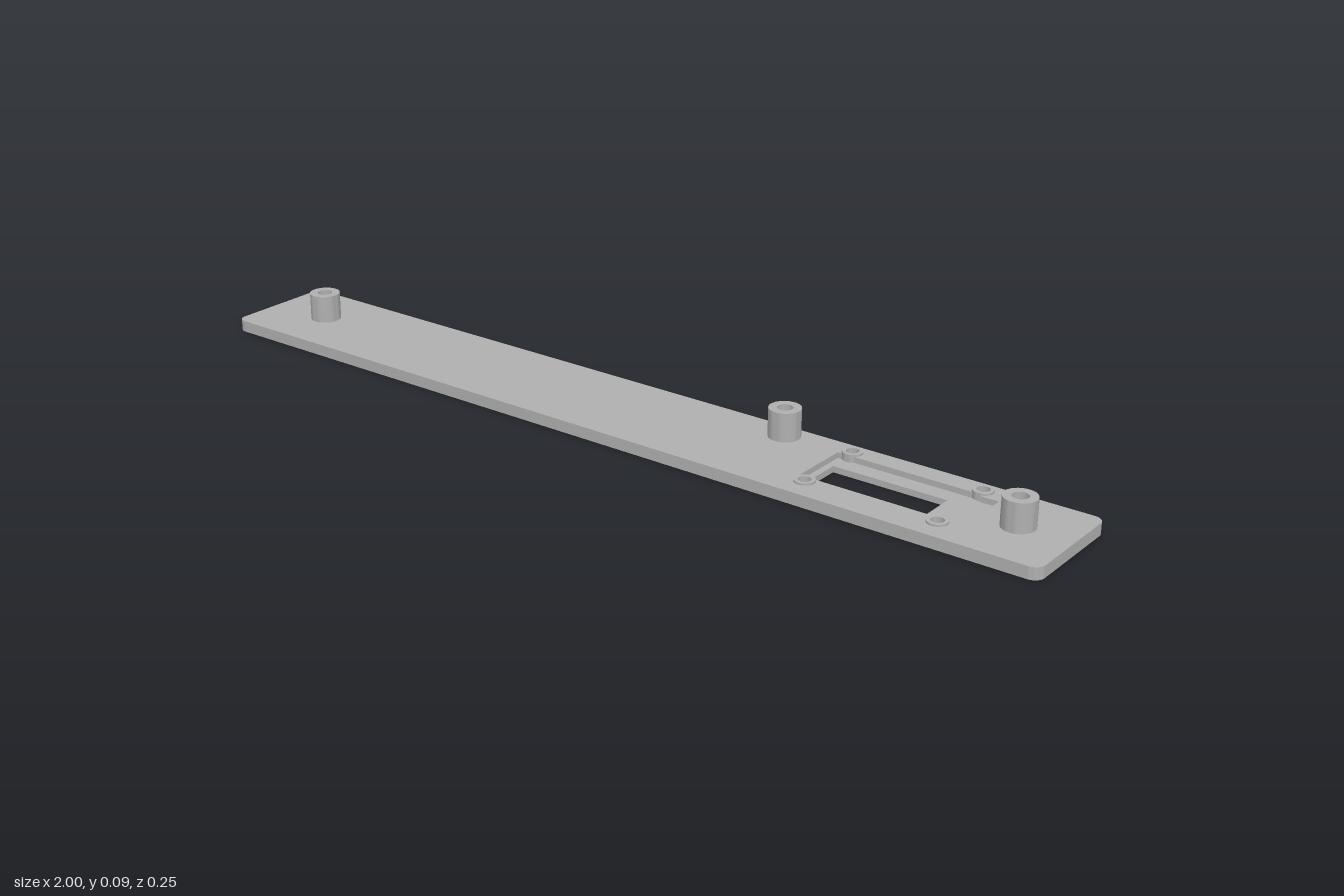
import * as THREE from 'three';
import { toCreasedNormals } from 'three/addons/utils/BufferGeometryUtils.js';

const W = 1, D = 0.126, R = 0.022;            // plate half sizes, corner radius
const STANDOFFS = [[-0.85, -0.003], [0.336, -0.083], [0.89, -0.003]];
const SCREWS = [[0.485, -0.096], [0.768, -0.096], [0.485, 0.07], [0.768, 0.07]];

// Outlines are given as [x, z]; extrusion turns shape y into -z
function polygon(points) {
  return new THREE.Path(points.map(([x, z]) => new THREE.Vector2(x, -z)));
}
function circle([x, z], r, segments = 32) {
  return polygon(Array.from({ length: segments }, (_, i) => {
    const a = (i / segments) * Math.PI * 2;
    return [x + r * Math.cos(a), z + r * Math.sin(a)];
  }));
}

// Constant-width groove along a polyline with mitred corners
function groove(points, width = 0.011) {
  const p = points.map(([x, z]) => new THREE.Vector2(x, z));
  const left = [], right = [];
  p.forEach((c, i) => {
    const a = c.clone().sub(p[Math.max(i - 1, 0)]).normalize();
    const b = p[Math.min(i + 1, p.length - 1)].clone().sub(c).normalize();
    if (i === 0) a.copy(b);
    if (i === p.length - 1) b.copy(a);
    const n = new THREE.Vector2(-a.y - b.y, a.x + b.x).normalize();
    const k = width / 2 / Math.max(0.4, n.dot(new THREE.Vector2(-a.y, a.x)));
    left.push([c.x + n.x * k, c.y + n.y * k]);
    right.unshift([c.x - n.x * k, c.y - n.y * k]);
  });
  return polygon([...left, ...right]);
}

function plateOutline() {
  const s = new THREE.Shape();
  for (const [sx, sy, a] of [[1, 1, 0], [-1, 1, 1], [-1, -1, 2], [1, -1, 3]]) {
    s.absarc(sx * (W - R), sy * (D - R), R, a * Math.PI / 2, (a + 1) * Math.PI / 2, false);
  }
  s.closePath();
  return s;
}

function layer(name, y0, y1, holes, material) {
  const shape = plateOutline();
  shape.holes.push(...holes);
  const g = new THREE.ExtrudeGeometry(shape, { depth: y1 - y0, bevelEnabled: false, curveSegments: 8 });
  g.rotateX(-Math.PI / 2).translate(0, y0, 0);
  const mesh = new THREE.Mesh(toCreasedNormals(g, 0.5), material);
  mesh.name = name;
  return mesh;
}

function turned(name, profile, [x, z], material) {
  const g = new THREE.LatheGeometry(profile.map(([r, y]) => new THREE.Vector2(r, y)), 40);
  const mesh = new THREE.Mesh(toCreasedNormals(g, 0.5), material);
  mesh.name = name;
  mesh.position.set(x, 0, z);
  return mesh;
}

export function createModel() {
  const group = new THREE.Group();
  group.name = 'mountingPlate';
  const grey = new THREE.MeshStandardMaterial({ color: 0xb0b0b0 });
  grey.name = 'plain grey';

  const opening = () => polygon([[0.476, -0.043], [0.724, -0.043], [0.724, 0.035], [0.476, 0.035]]);
  const bores = (screwRadius) => [
    ...STANDOFFS.map((p) => circle(p, 0.016)),
    ...SCREWS.map((p) => circle(p, screwRadius)),
  ];

  // Zigzag decoration engraved in the underside
  const engraving = [
    groove([[0.28, -0.03], [0.09, 0.085], [-0.03, 0.05], [-0.05, 0.01], [-0.23, -0.01],
      [-0.36, 0.045], [-0.49, 0.012], [-0.52, -0.025], [-0.75, -0.005]]),
    groove([[0.27, -0.07], [0.12, -0.085], [-0.75, -0.085]], 0.008),
    ...[0.08, -0.12, -0.32, -0.5].map((x) =>
      groove([[x, -0.072], [x - 0.05, -0.03], [x - 0.11, -0.07]], 0.009)),
    ...[[0.22, 0.075], [0.14, 0.098], [0.18, 0.055]].map((p) => circle(p, 0.006, 12)),
  ];

  // Stepped recess around the opening, with a tab at one end
  const recess = polygon([[0.462, -0.08], [0.775, -0.08], [0.775, -0.073], [0.813, -0.073],
    [0.813, 0.03], [0.775, 0.03], [0.775, 0.053], [0.462, 0.053]]);

  group.add(
    layer('engravedUnderside', 0, 0.005, [opening(), ...bores(0.021), ...engraving], grey),
    layer('plateCore', 0.005, 0.013, [opening(), ...bores(0.021)], grey),
    layer('plateTop', 0.013, 0.025, [recess, ...bores(0.014)], grey),
  );

  // Hollow standoffs
  for (const p of STANDOFFS) {
    group.add(turned('standoff',
      [[0.033, 0.025], [0.033, 0.085], [0.016, 0.085], [0.016, 0.025]], p, grey));
  }

  // Countersunk screw bosses
  for (const p of SCREWS) {
    group.add(turned('screwBoss',
      [[0.021, 0], [0.021, 0.029], [0.013, 0.029], [0.013, 0.012], [0.021, 0]], p, grey));
  }
  return group;
}
